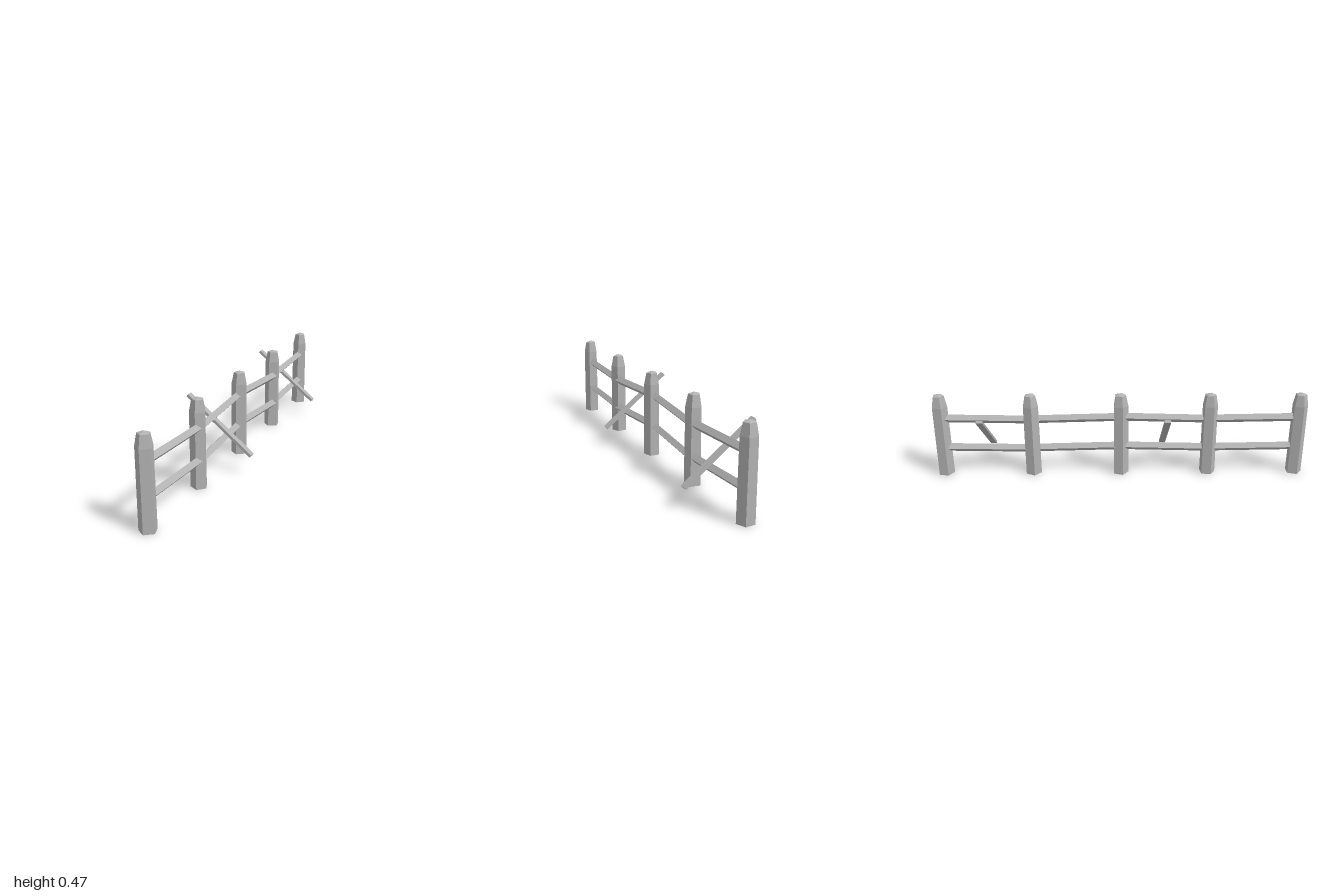
import * as THREE from 'three';

export function createModel() {
  const fence = new THREE.Group();
  fence.name = 'fence';
  const wood = new THREE.MeshStandardMaterial({ color: 0xb2b2b2, flatShading: true });
  wood.name = 'greyWood';

  const add = (geometry, name) => {
    const mesh = new THREE.Mesh(geometry, wood);
    mesh.name = name;
    fence.add(mesh);
    return mesh;
  };

  // Five-sided post with tapered shoulders and a low pointed cap
  const postProfile = [[0, 0], [0.044, 0], [0.042, 0.395], [0.03, 0.455], [0, 0.465]]
    .map(([r, y]) => new THREE.Vector2(r, y));
  const postGeometry = new THREE.LatheGeometry(postProfile, 5);
  const postZ = [0.957, 0.478, 0, -0.478, -0.96];
  const postYaw = [0, 0.12, 0, -0.12, 0.1];
  postZ.forEach((z, i) => {
    const post = add(postGeometry, `post${i + 1}`);
    post.position.z = z;
    post.rotation.y = postYaw[i];
  });

  // Square rails set on edge, one span between each pair of posts
  const addRail = (from, to, name) => {
    const rail = add(new THREE.CylinderGeometry(0.023, 0.023, from.distanceTo(to), 4).rotateX(Math.PI / 2), name);
    rail.position.copy(from).add(to).multiplyScalar(0.5);
    rail.lookAt(to);
  };
  // Start and end of each span: x, upper rail y
  const spans = [
    [0, 0.325, 0.008, 0.315],
    [0.01, 0.313, -0.004, 0.332],
    [-0.006, 0.332, 0.014, 0.312],
    [0.008, 0.313, 0, 0.325],
  ];
  spans.forEach(([x0, y0, x1, y1], i) => {
    for (const [drop, label] of [[0, 'upper'], [0.169, 'lower']]) {
      addRail(
        new THREE.Vector3(x0, y0 - drop, postZ[i] - 0.01),
        new THREE.Vector3(x1, y1 - drop, postZ[i + 1] + 0.01),
        `${label}Rail${i + 1}`
      );
    }
  });

  // Slanted braces crossing between the rails
  [0.24, -0.72].forEach((z, i) => {
    const brace = add(new THREE.BoxGeometry(0.451, 0.015, 0.033), `brace${i + 1}`);
    brace.position.set(0, 0.241, z);
    brace.rotation.z = -0.668;
  });

  return fence;
}
